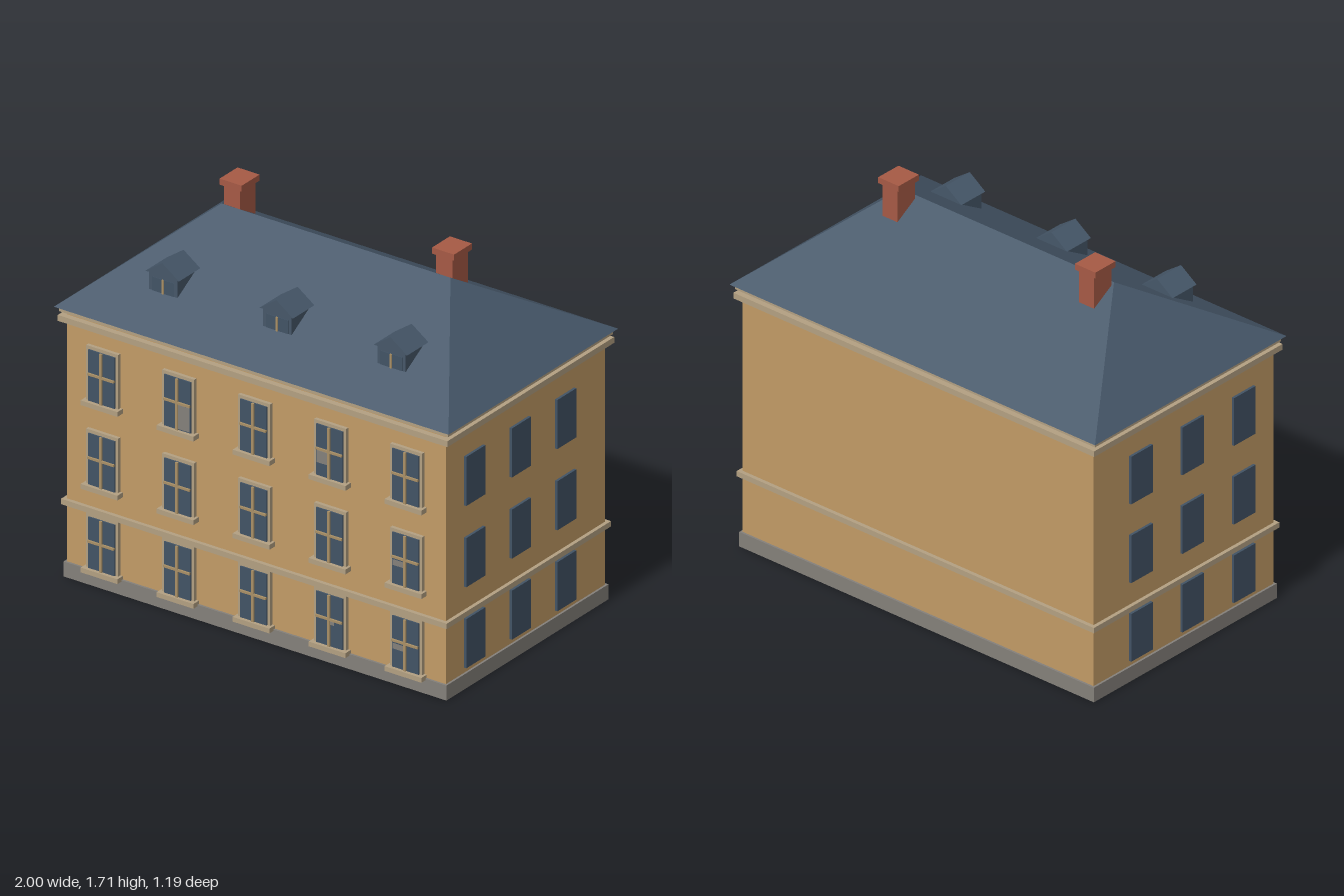
import * as THREE from 'three';

const mat = (name, color) => {
  const m = new THREE.MeshStandardMaterial({ color });
  m.name = name;
  return m;
};

export function createModel() {
  const house = new THREE.Group();
  house.name = 'house';
  const wall = mat('ochre wall', 0xc29b66);
  const trim = mat('pale stone trim', 0xb3a082);
  const stone = mat('grey stone', 0x84807a);
  const slate = mat('slate', 0x465769);
  const glass = mat('dark glass', 0x425365);
  const joinery = mat('window bars', 0xa99066);
  const brick = mat('red brick', 0xa65a45);

  const add = (parent, name, geometry, material) => {
    const m = new THREE.Mesh(geometry, material);
    m.name = name;
    parent.add(m);
    return m;
  };
  // Box given by its limits on each axis
  const box = (parent, name, material, [x0, x1], [y0, y1], [z0, z1]) => {
    const m = add(parent, name, new THREE.BoxGeometry(x1 - x0, y1 - y0, z1 - z0), material);
    m.position.set((x0 + x1) / 2, (y0 + y1) / 2, (z0 + z1) / 2);
    return m;
  };
  // Horizontal band running round the whole building
  const band = (name, material, x, z, y0, y1) =>
    box(house, name, material, [-x, x], [y0, y1], [-z, z]);
  const group = (name, x, y, z) => {
    const g = new THREE.Group();
    g.name = name;
    g.position.set(x, y, z);
    house.add(g);
    return g;
  };

  // Body and bands
  band('walls', wall, 0.96, 0.56, 0, 1.24);
  band('plinth', stone, 0.97, 0.57, 0.001, 0.07);
  band('stringCourse', trim, 0.977, 0.578, 0.335, 0.36);
  band('lowerCornice', trim, 0.987, 0.587, 1.18, 1.207);
  band('upperCornice', trim, 0.985, 0.58, 1.222, 1.245);

  // Hipped roof
  const [rx, rz, eave, ridge, hip] = [1, 0.597, 1.245, 1.6, 0.58];
  const a = [-rx, eave, rz], b = [rx, eave, rz], c = [rx, eave, -rz], d = [-rx, eave, -rz];
  const l = [-hip, ridge, 0], r = [hip, ridge, 0];
  const faces = [a, b, r, a, r, l, c, d, l, c, l, r, b, c, r, d, a, l, a, d, c, a, c, b];
  const roof = new THREE.BufferGeometry();
  roof.setAttribute('position', new THREE.Float32BufferAttribute(faces.flat(), 3));
  roof.computeVertexNormals();
  add(house, 'roof', roof, slate);

  // Front windows, three floors of five
  const columns = [-0.77, -0.385, 0, 0.385, 0.77];
  const floors = [0.335, 0.72, 1.105]; // tops of the surrounds
  for (const top of floors) {
    for (const x of columns) {
      const w = group('frontWindow', x, top, 0.56);
      box(w, 'surround', trim, [-0.081, 0.081], [-0.255, 0], [-0.005, 0.016]);
      box(w, 'pane', glass, [-0.067, 0.067], [-0.25, -0.015], [0.016, 0.022]);
      box(w, 'mullion', joinery, [-0.006, 0.006], [-0.25, -0.015], [0.02, 0.03]);
      box(w, 'transom', joinery, [-0.067, 0.067], [-0.13, -0.12], [0.02, 0.03]);
      box(w, 'sill', trim, [-0.093, 0.093], [-0.272, -0.25], [-0.005, 0.038]);
    }
  }

  // Grey patches behind some lower panes: limits in x and y
  const blinds = [
    [-0.385, -0.322, 0.86, 0.97], [0.322, 0.38, 0.915, 0.97],
    [0.706, 0.764, 0.555, 0.58], [0.706, 0.764, 0.17, 0.195], [0.39, 0.41, 0.185, 0.2],
  ];
  for (const [x0, x1, y0, y1] of blinds) {
    box(house, 'blind', stone, [x0, x1], [y0, y1], [0.581, 0.584]);
  }

  // Plain windows on both ends
  for (const side of [-1, 1]) {
    for (const z of [0.367, 0.046, -0.273]) {
      for (const y of [0.208, 0.581, 0.955]) {
        const w = add(house, 'sideWindow', new THREE.BoxGeometry(0.012, 0.226, 0.134), glass);
        w.position.set(side * 0.967, y, z);
      }
    }
  }

  // Dormers
  const gable = new THREE.Shape([
    new THREE.Vector2(-0.085, 0), new THREE.Vector2(0.085, 0), new THREE.Vector2(0, 0.06),
  ]);
  for (const x of [-0.578, 0, 0.578]) {
    const g = group('dormer', x, 1.438, 0);
    box(g, 'dormerBody', slate, [-0.072, 0.072], [-0.085, 0.002], [0.28, 0.412]);
    box(g, 'dormerPane', glass, [-0.055, 0.055], [-0.083, -0.02], [0.412, 0.415]);
    box(g, 'dormerMullion', joinery, [-0.005, 0.005], [-0.085, -0.02], [0.413, 0.418]);
    const top = new THREE.ExtrudeGeometry(gable, { depth: 0.15, bevelEnabled: false });
    add(g, 'dormerRoof', top, slate).position.z = 0.27;
  }

  // Chimneys
  for (const x of [-0.538, 0.538]) {
    const g = group('chimney', x, 0, -0.069);
    box(g, 'chimneyStack', brick, [-0.041, 0.041], [1.4, 1.682], [-0.054, 0.054]);
    box(g, 'chimneyCap', brick, [-0.056, 0.056], [1.68, 1.708], [-0.063, 0.063]);
  }
  return house;
}
